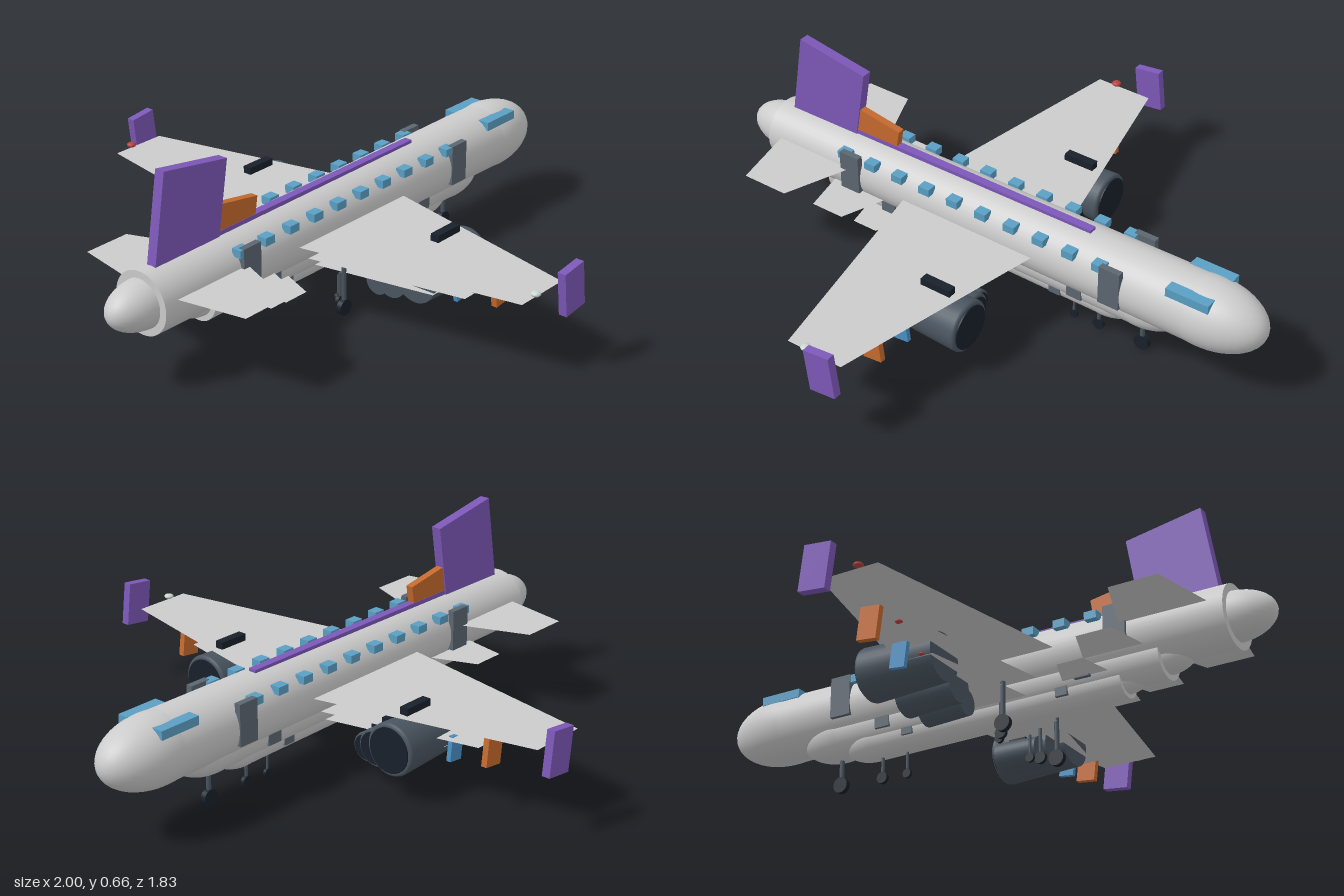
import * as THREE from 'three';

const mat = (color, extra = {}) => new THREE.MeshStandardMaterial({ color, ...extra });
const body = mat(0xcccccc);
const sheet = mat(0xcccccc, { side: THREE.DoubleSide });
const glass = mat(0x5a9fc4);
const doorGrey = mat(0x5c6670);
const nacelleGrey = mat(0x4a5560);
const dark = mat(0x18202a);
const red = mat(0xb84040);
const pale = mat(0xc8d8d0);

function add(parent, name, geometry, material, x, y, z) {
  const mesh = new THREE.Mesh(geometry, material);
  mesh.name = name;
  mesh.position.set(x, y, z);
  parent.add(mesh);
  return mesh;
}
const box = (w, h, d) => new THREE.BoxGeometry(w, h, d);
// Cylinder lying along x, front radius first
const rod = (front, rear, length, sides = 32) =>
  new THREE.CylinderGeometry(front, rear, length, sides).rotateZ(-Math.PI / 2);

// Flat horizontal panel from root (z = 0.08) to tip
function panel(rear, front, tipRear, tipFront, span, side) {
  const shape = new THREE.Shape([[rear, 0.08], [front, 0.08], [tipFront, span], [tipRear, span]]
    .map(([x, z]) => new THREE.Vector2(x, -z * side)));
  return new THREE.ShapeGeometry(shape).rotateX(-Math.PI / 2);
}

function landingGear(parent, name, x, z) {
  const gear = new THREE.Group();
  gear.name = name;
  gear.position.set(x, 0, z);
  add(gear, 'strut', new THREE.CylinderGeometry(0.008, 0.008, 0.14, 12), nacelleGrey, 0, 0.095, 0);
  add(gear, 'wheel', new THREE.CylinderGeometry(0.027, 0.027, 0.018, 24).rotateX(Math.PI / 2), dark, 0, 0.027, 0);
  parent.add(gear);
}

function engine(parent, side) {
  const g = new THREE.Group();
  g.name = 'engine';
  g.position.set(0, 0.174, 0.397 * side);
  add(g, 'nacelle', rod(0.088, 0.078, 0.26), nacelleGrey, 0.045, 0, 0);
  add(g, 'intakeLip', new THREE.TorusGeometry(0.077, 0.011, 10, 32).rotateY(Math.PI / 2), nacelleGrey, 0.175, 0, 0);
  add(g, 'intake', rod(0.075, 0.075, 0.02), dark, 0.18, 0, 0);
  add(g, 'pylon', box(0.11, 0.06, 0.03), dark, 0.065, 0.09, 0);
  parent.add(g);
}

function airplane(accentColor) {
  const plane = new THREE.Group();
  const accent = mat(accentColor);

  // Fuselage with rounded nose and tail
  add(plane, 'fuselage', rod(0.113, 0.104, 1.66, 40), body, -0.04, 0.27, 0);
  add(plane, 'nose', new THREE.SphereGeometry(1, 40, 24).scale(0.2, 0.115, 0.115), body, 0.8, 0.27, 0);
  add(plane, 'tailCone', new THREE.SphereGeometry(1, 32, 20).scale(0.14, 0.08, 0.08), body, -0.86, 0.27, 0);

  // Fin and roof stripe
  add(plane, 'fin', box(0.265, 0.32, 0.035), accent, -0.67, 0.483, 0).rotation.z = -0.165;
  add(plane, 'roofStripe', box(0.97, 0.02, 0.028), accent, -0.113, 0.38, 0);

  for (const side of [1, -1]) {
    // Flying surfaces
    add(plane, 'wing', panel(-0.3, 0.22, -0.155, 0.047, 0.85, side), sheet, 0, 0.27, 0);
    add(plane, 'stabilizer', panel(-0.822, -0.513, -0.775, -0.61, 0.33, side), sheet, 0, 0.295, 0);
    add(plane, 'winglet', box(0.095, 0.147, 0.028), accent, 0.02, 0.276, 0.903 * side).rotation.z = 0.12;
    add(plane, 'wingtipLight', new THREE.SphereGeometry(0.016, 16, 12).scale(1, 0.55, 1),
      side > 0 ? pale : red, -0.086, 0.28, 0.85 * side);
    engine(plane, side);

    // Windows and doors
    for (let i = 0; i < 10; i++) {
      add(plane, 'cabinWindow', box(0.042, 0.027, 0.035), glass, -0.54 + i * 0.111, 0.345, 0.093 * side);
    }
    for (const x of [-0.512, 0.505]) {
      add(plane, 'door', box(0.075, 0.14, 0.022), doorGrey, x, 0.29, 0.103 * side);
    }
    add(plane, 'cockpitWindow', box(0.15, 0.03, 0.04), glass, 0.767, 0.355, 0.072 * side);
    landingGear(plane, 'mainGear', -0.15, 0.165 * side);
  }
  landingGear(plane, 'noseGear', 0.57, 0);
  return plane;
}

export function createModel() {
  const model = new THREE.Group();
  model.name = 'nestedAirplanes';
  // Three similar airplanes nested on the same ground: scale, shift, accent colour
  const sizes = [
    ['largeAirplane', 1, 0, 0x7d58b8],
    ['mediumAirplane', 0.725, -0.007, 0xc66a2e],
    ['smallAirplane', 0.561, -0.009, 0x4a8fc4],
  ];
  for (const [name, scale, shift, color] of sizes) {
    const plane = airplane(color);
    plane.name = name;
    plane.scale.setScalar(scale);
    plane.position.x = shift;
    model.add(plane);
  }
  return model;
}
